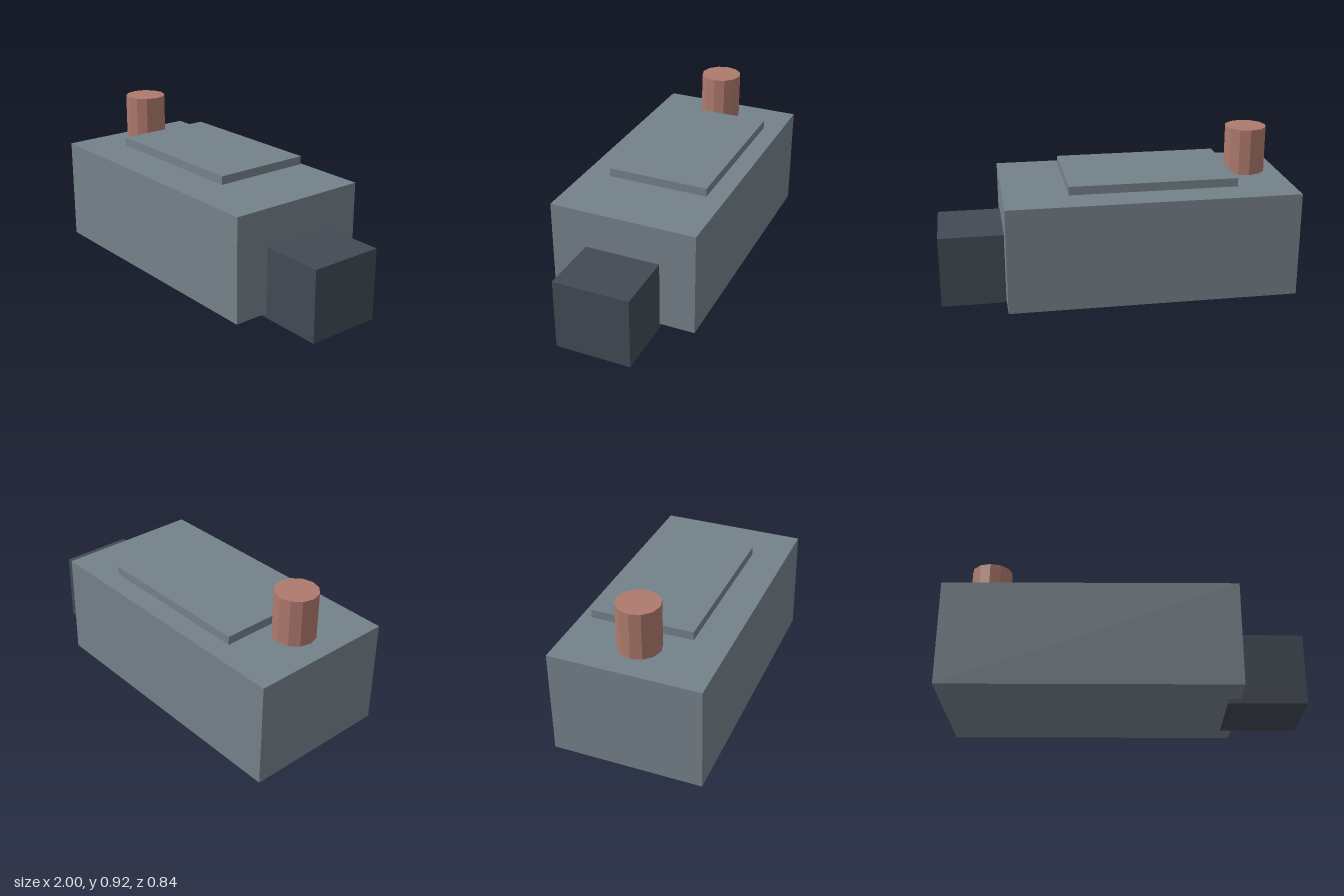
import * as THREE from 'three';

export function createModel() {
  const model = new THREE.Group();
  const material = (name, color) => {
    const m = new THREE.MeshStandardMaterial({ color, flatShading: true });
    m.name = name;
    return m;
  };
  const slateGrey = material('slateGrey', 0x75818a);
  const darkSlate = material('darkSlate', 0x424a54);
  const brickRed = material('brickRed', 0xae7a6d);

  // Box given by its lower and upper limits on each axis
  const addBox = (name, mat, [x0, x1], [y0, y1], [z0, z1]) => {
    const mesh = new THREE.Mesh(new THREE.BoxGeometry(x1 - x0, y1 - y0, z1 - z0), mat);
    mesh.position.set((x0 + x1) / 2, (y0 + y1) / 2, (z0 + z1) / 2);
    mesh.name = name;
    model.add(mesh);
  };

  addBox('body', slateGrey, [-1, 0.637], [0.027, 0.628], [-0.422, 0.422]);
  addBox('endBlock', darkSlate, [0.565, 1], [0, 0.41], [-0.217, 0.217]);
  addBox('topPanel', slateGrey, [-0.653, 0.286], [0.664, 0.712], [-0.336, 0.241]);

  // Twelve-sided stack hovering just above the body
  const stack = new THREE.Mesh(new THREE.CylinderGeometry(0.119, 0.119, 0.265, 12), brickRed);
  stack.position.set(-0.784, 0.785, 0);
  stack.name = 'stack';
  model.add(stack);

  return model;
}
